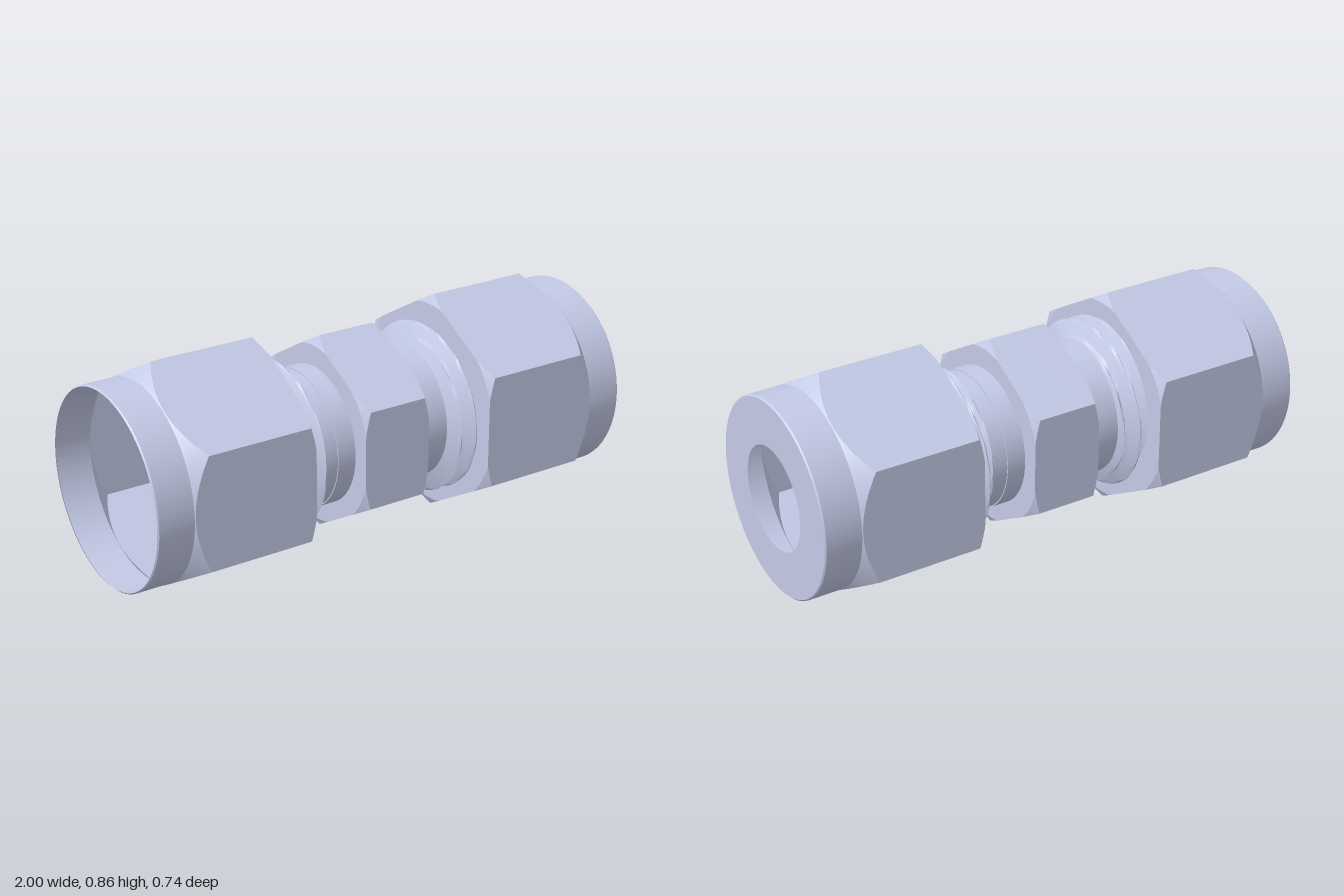
import * as THREE from 'three';
import { toCreasedNormals } from 'three/addons/utils/BufferGeometryUtils.js';

const AXIS_Y = 0.428, SEG = 120;

// Skin a surface around the x axis; each row maps an angle (0 = up, towards +z) to [x, radius].
function skin(rows, crease = 0.35) {
  const pos = [], idx = [], w = SEG + 1;
  for (const row of rows) {
    for (let j = 0; j <= SEG; j++) {
      const t = (j / SEG) * Math.PI * 2;
      const [x, r] = row(t);
      pos.push(x, AXIS_Y + r * Math.cos(t), r * Math.sin(t));
    }
  }
  for (let i = 0; i < rows.length - 1; i++) {
    for (let j = 0; j < SEG; j++) {
      const a = i * w + j, c = a + w;
      idx.push(a, a + 1, c, a + 1, c + 1, c);
    }
  }
  const g = new THREE.BufferGeometry();
  g.setAttribute('position', new THREE.Float32BufferAttribute(pos, 3));
  g.setIndex(idx);
  return toCreasedNormals(g, crease);
}

const ring = (x, r) => () => [x, r];

// Hexagon radius with corners at top and bottom
function hexRadius(apothem, t) {
  const step = Math.PI / 3;
  return apothem / Math.cos((t % step) - step / 2);
}

// Two rows where a chamfer cone (starting at x, radius r) meets the hexagon
function chamfer(apothem, x, r, slope) {
  const start = (t) => [x, Math.min(r, hexRadius(apothem, t))];
  const end = (t) => {
    const h = hexRadius(apothem, t);
    return [x + slope * Math.max(0, h - r), h];
  };
  return [start, end];
}

// Mirror a set of rows to the -x side, keeping the surface facing outwards
const mirrorRows = (rows) =>
  rows.map((f) => (t) => { const [x, r] = f(t); return [-x, r]; }).reverse();

export function createModel() {
  const steel = new THREE.MeshStandardMaterial({ color: 0xcad1ee, side: THREE.DoubleSide });
  steel.name = 'pale steel';
  const model = new THREE.Group();
  model.name = 'tubeFitting';
  const add = (name, rows, crease) => {
    const mesh = new THREE.Mesh(skin(rows, crease), steel);
    mesh.name = name;
    model.add(mesh);
  };

  // Central hexagon with lightly chamfered corners
  const midA = 0.324;
  add('centreHexagon', [
    ring(-0.137, 0.255),
    ...chamfer(midA, -0.137, 0.338, 0.55),
    ...chamfer(midA, 0.137, 0.338, -0.55).reverse(),
    ring(0.137, 0.255),
  ]);

  // Bore sleeve with flat tube stops at its ends
  add('boreSleeve', [
    ring(-0.1, 0.145), ring(-0.1, 0.185), ring(0.1, 0.185), ring(0.1, 0.145), ring(-0.1, 0.145),
  ]);

  // Compression nut: hexagon running into a round collar
  const nutA = 0.3704;
  const nut = [
    ring(0.376, 0.285),
    ...chamfer(nutA, 0.376, 0.392, 0.6),
    ...chamfer(nutA, 0.86, 0.368, -1).reverse(),
    ring(0.86, 0.368),
    ring(0.995, 0.368),
    ring(1, 0.363),
  ];

  for (const [side, s, peak] of [['left', 1, 0.34], ['right', -1, -0.31]]) {
    const place = (rows) => (s > 0 ? rows : mirrorRows(rows));
    add(side + 'Nut', place(nut));
    add(side + 'Neck', place([ring(0.137, 0.26), ring(0.21, 0.26), ring(0.21, 0.256), ring(0.275, 0.256)]));

    // Right-handed helical thread that runs out towards the neck
    const pitch = 0.065, thread = [];
    for (let i = 0; i <= 32; i++) {
      const d = 0.272 + i * 0.004, x = s * d;
      thread.push((t) => {
        const u = (x - peak) / pitch - t / (Math.PI * 2);
        const off = Math.abs(u - Math.round(u)) * 2;
        const r = 0.268 + 0.056 * THREE.MathUtils.clamp(1.08 - 1.2 * off, 0, 1);
        return [x, Math.min(r, 0.256 + (d - 0.272) * 2.4)];
      });
    }
    add(side + 'Thread', s > 0 ? thread : thread.reverse(), 0.6);
  }

  // End face with the tube opening; the opposite collar is open
  add('endFace', [ring(1, 0.363), ring(1, 0.193)]);
  return model;
}
